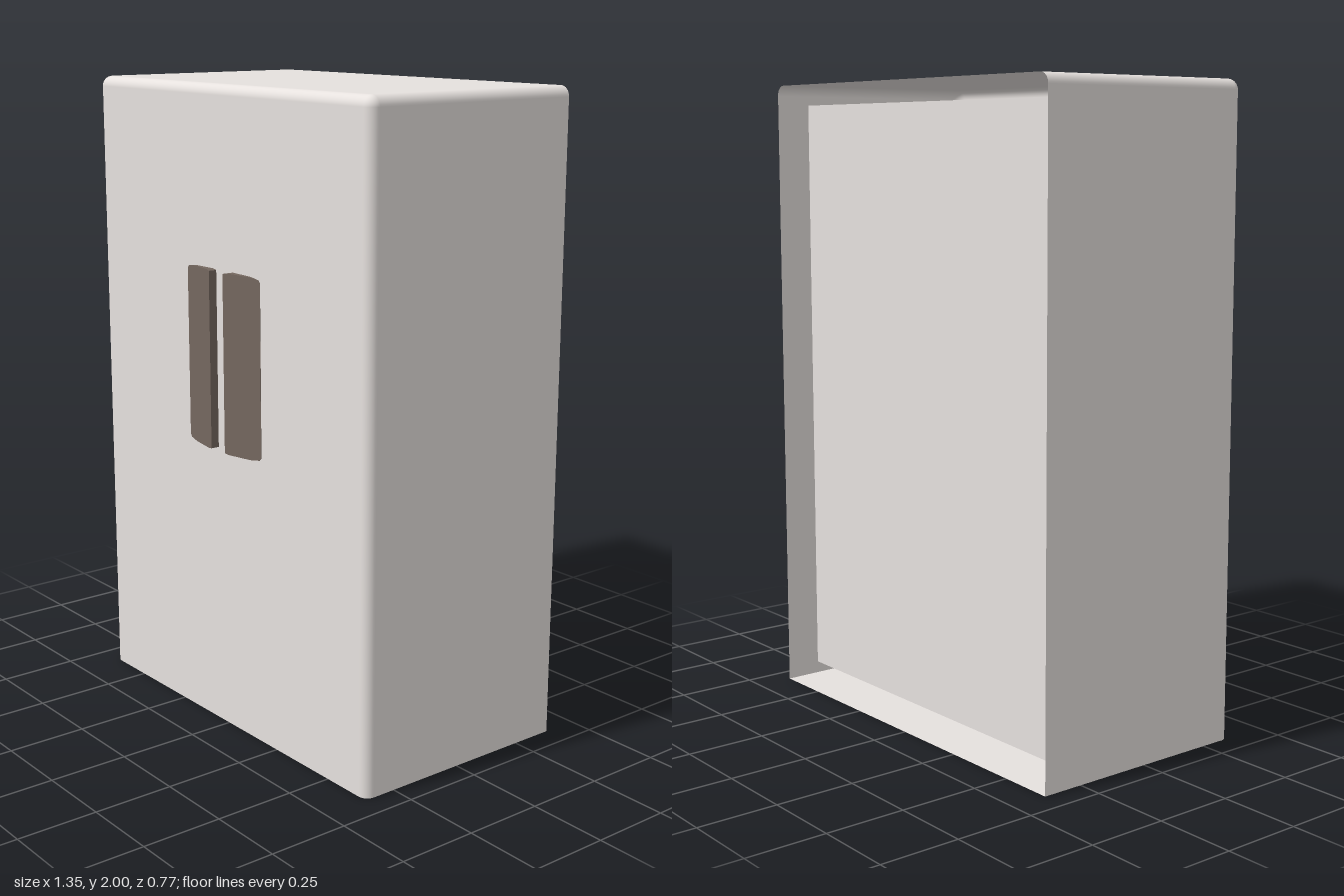
import * as THREE from 'three';

const W = 0.675, H = 2, BASE = 0.001, BACK = -0.385, FRONT = 0.358, R = 0.032, STEPS = 8;

// Side walls, top and rounded front edges: one U-shaped path swept over a quarter-round profile
function shellGeometry() {
  const path = [[-W + R, BASE, Math.PI]];
  for (let i = 0; i <= STEPS; i++) path.push([-W + R, H - R, Math.PI - (i / STEPS) * Math.PI / 2]);
  for (let i = 0; i <= STEPS; i++) path.push([W - R, H - R, Math.PI / 2 - (i / STEPS) * Math.PI / 2]);
  path.push([W - R, BASE, 0]);

  const rings = [[BACK, 0]];
  for (let i = 0; i <= STEPS; i++) {
    const phi = (i / STEPS) * Math.PI / 2;
    rings.push([FRONT - R + R * Math.sin(phi), phi]);
  }

  const pos = [], nor = [], idx = [], n = path.length;
  for (const [z, phi] of rings) {
    for (const [cx, cy, a] of path) {
      const nx = Math.cos(a) * Math.cos(phi), ny = Math.sin(a) * Math.cos(phi);
      pos.push(cx + R * nx, cy + R * ny, z);
      nor.push(nx, ny, Math.sin(phi));
    }
  }
  for (let r = 0; r < rings.length - 1; r++) {
    for (let i = 0; i < n - 1; i++) {
      const a = r * n + i, b = a + 1, c = a + n, d = c + 1;
      idx.push(a, c, b, b, c, d);
    }
  }
  const g = new THREE.BufferGeometry();
  g.setAttribute('position', new THREE.Float32BufferAttribute(pos, 3));
  g.setAttribute('normal', new THREE.Float32BufferAttribute(nor, 3));
  g.setIndex(idx);
  return g;
}

// Floor outline with rounded front corners
function floorGeometry() {
  const s = new THREE.Shape();
  s.moveTo(-W, BACK);
  s.lineTo(W, BACK);
  s.lineTo(W, FRONT - R);
  s.absarc(W - R, FRONT - R, R, 0, Math.PI / 2, false);
  s.lineTo(-W + R, FRONT);
  s.absarc(-W + R, FRONT - R, R, Math.PI / 2, Math.PI, false);
  s.closePath();
  return new THREE.ShapeGeometry(s, STEPS).rotateX(Math.PI / 2);
}

// Wedge handle: an extruded outline tapering to nothing at its outer edge
function handleGeometry(side) {
  const inner = 0.035, outer = 0.185, tip = 0.385;
  const outline = [
    [0.035, 0.903], [0.05, 0.9], [0.14, 0.901], [0.177, 0.906], [0.185, 0.915],
    [0.185, 1.44], [0.177, 1.449], [0.14, 1.454], [0.05, 1.455], [0.035, 1.452],
  ].map(([x, y]) => new THREE.Vector2(side * x, y));
  const g = new THREE.ExtrudeGeometry(new THREE.Shape(outline), { depth: 1, bevelEnabled: false });
  const p = g.attributes.position;
  for (let i = 0; i < p.count; i++) {
    const t = (outer - Math.abs(p.getX(i))) / (outer - inner);
    p.setZ(i, p.getZ(i) > 0.5 ? FRONT + 0.001 + (tip - FRONT - 0.001) * t : FRONT - 0.005);
  }
  g.computeVertexNormals();
  return g;
}

export function createModel() {
  const group = new THREE.Group();
  const material = (name, color) => {
    const m = new THREE.MeshStandardMaterial({ color, side: THREE.DoubleSide });
    m.name = name;
    return m;
  };
  const body = material('pale grey', 0xe6e1de);
  const dark = material('dark brown', 0x74675f);
  const taupe = material('taupe', 0xb0a098);

  const add = (name, geometry, mat, x = 0, y = 0, z = 0) => {
    const m = new THREE.Mesh(geometry, mat);
    m.name = name;
    m.position.set(x, y, z);
    group.add(m);
  };

  // Outer cabinet, open at the back
  add('cabinetShell', shellGeometry(), body);
  add('frontPanel', new THREE.PlaneGeometry(2 * (W - R), H - R - BASE), body, 0, (H - R + BASE) / 2, FRONT);
  add('floor', floorGeometry(), body, 0, BASE, 0);

  // Inner box, standing clear of the outer walls and set in from the back
  const gap = 0.063, coreBack = BACK + 0.075, coreFront = FRONT - gap;
  add('innerBox', new THREE.BoxGeometry(2 * (W - gap), H - 2 * gap, coreFront - coreBack), body,
    0, H / 2, (coreFront + coreBack) / 2);

  // Handles
  add('leftHandle', handleGeometry(1), dark);
  add('rightHandle', handleGeometry(-1), dark);

  // Thin plate on the underside
  const plate = new THREE.Shape([
    [-0.01, 0.3], [-0.34, 0.3], [-0.34, 0.14], [-0.3, 0.115], [-0.1, 0.115], [-0.01, 0.175],
  ].map(([x, z]) => new THREE.Vector2(x, z)));
  add('undersidePlate', new THREE.ShapeGeometry(plate).rotateX(Math.PI / 2), taupe);

  return group;
}
